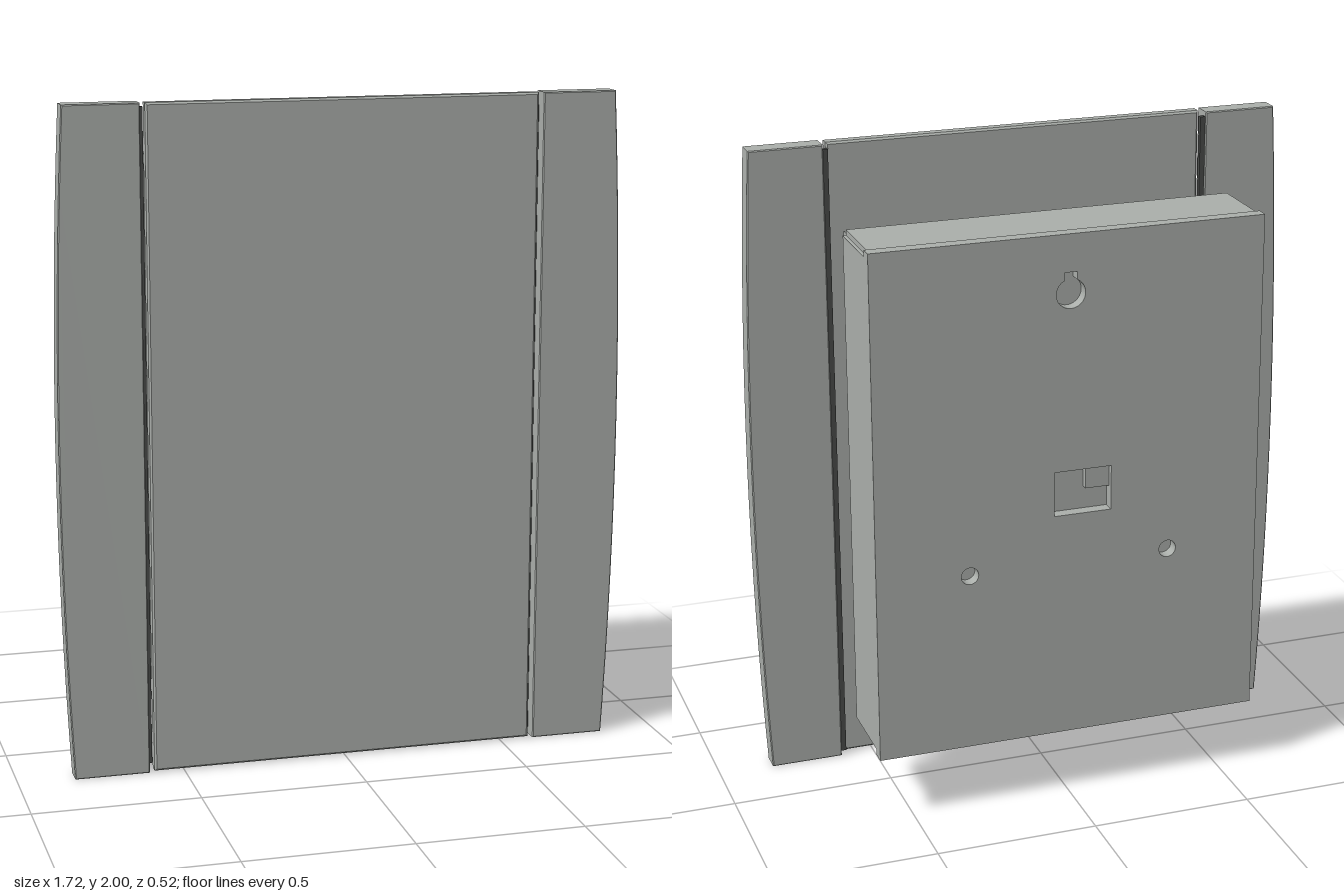
import * as THREE from 'three';

const grey = new THREE.MeshStandardMaterial({ color: 0xabafab });
grey.name = 'grey plastic';
const dark = new THREE.MeshStandardMaterial({ color: 0x4a4c4a });
dark.name = 'dark gasket';

export function createModel() {
  const model = new THREE.Group();
  model.name = 'wallUnit';

  const add = (parent, name, geometry, material = grey) => {
    const mesh = new THREE.Mesh(geometry, material);
    mesh.name = name;
    parent.add(mesh);
    return mesh;
  };
  // Box given by its lower and upper limits on each axis
  const box = (parent, name, [x0, x1], [y0, y1], [z0, z1], material) => {
    const mesh = add(parent, name, new THREE.BoxGeometry(x1 - x0, y1 - y0, z1 - z0), material);
    mesh.position.set((x0 + x1) / 2, (y0 + y1) / 2, (z0 + z1) / 2);
    return mesh;
  };
  // Flat outline extruded from z0 to z1 with small chamfered edges
  const slab = (parent, name, shape, z0, z1, bevel) => {
    const geometry = new THREE.ExtrudeGeometry(shape, {
      depth: z1 - z0 - 2 * bevel, bevelEnabled: bevel > 0, bevelThickness: bevel,
      bevelSize: bevel, bevelOffset: -bevel, bevelSegments: 1, curveSegments: 20,
    });
    geometry.translate(0, 0, z0 + bevel);
    return add(parent, name, geometry);
  };
  const rect = (x0, x1, y0, y1, Type = THREE.Shape) => new Type([
    new THREE.Vector2(x0, y0), new THREE.Vector2(x1, y0),
    new THREE.Vector2(x1, y1), new THREE.Vector2(x0, y1),
  ]);

  // Front cover: centre panel, bowed side wings and the gaskets between
  const cover = new THREE.Group();
  cover.name = 'frontCover';
  model.add(cover);
  slab(cover, 'centrePanel', rect(-0.59, 0.59, 0.004, 2), 0.22, 0.26, 0.006);
  for (const side of [-1, 1]) {
    const points = [];
    for (let i = 0; i <= 16; i++) {
      const t = i / 8 - 1;
      points.push(new THREE.Vector2(side * (0.83 + 0.028 * (1 - t * t)), 1 + t));
    }
    points.push(new THREE.Vector2(side * 0.605, 2), new THREE.Vector2(side * 0.605, 0));
    slab(cover, side > 0 ? 'leftWing' : 'rightWing', new THREE.Shape(points), 0.195, 0.26, 0.003);
    const strip = box(cover, 'gasket', [-0.009, 0.009], [0.015, 1.985], [0.2, 0.215], dark);
    strip.position.x = side * 0.598;
  }

  // Housing: core, side plates, top and bottom walls
  const housing = new THREE.Group();
  housing.name = 'housing';
  model.add(housing);
  box(housing, 'core', [-0.595, 0.595], [0.225, 1.785], [-0.225, 0]);
  for (const side of [-1, 1]) {
    const plate = box(housing, 'sidePlate', [-0.005, 0.005], [0.23, 1.78], [-0.248, 0]);
    plate.position.x = side * 0.6;
  }
  box(housing, 'topWall', [-0.595, 0.595], [1.784, 1.797], [-0.25, 0]);
  box(housing, 'bottomWall', [-0.595, 0.595], [0.212, 0.226], [-0.25, 0]);

  // Back plate with keyhole, cable window and two screw holes
  const back = rect(-0.605, 0.605, 0.21, 1.8);
  const keyhole = new THREE.Path();
  keyhole.absarc(0, 1.62, 0.045, Math.PI * 0.64, Math.PI * 2.36, false);
  keyhole.lineTo(0.019, 1.685);
  keyhole.lineTo(-0.019, 1.685);
  keyhole.closePath();
  back.holes.push(keyhole, rect(-0.13, 0.05, 0.93, 1.07, THREE.Path));
  for (const x of [-0.315, 0.315]) {
    const hole = new THREE.Path();
    hole.absarc(x, 0.775, 0.027, 0, Math.PI * 2, false);
    back.holes.push(hole);
  }
  slab(housing, 'backPlate', back, -0.263, -0.222, 0);
  box(housing, 'windowInsert', [-0.13, -0.055], [1.0, 1.07], [-0.245, -0.224]);

  // Inner parts between housing and cover
  const inner = new THREE.Group();
  inner.name = 'innerParts';
  model.add(inner);
  box(inner, 'upperBlock', [-0.6, -0.14], [1.24, 1.78], [0, 0.045]);
  box(inner, 'upperBlock', [0.13, 0.59], [1.24, 1.78], [0, 0.045]);
  box(inner, 'upperBridge', [-0.13, 0.13], [1.24, 1.77], [0, 0.05]);
  box(inner, 'upperPlate', [-0.57, 0.57], [1.24, 1.7], [0.045, 0.053]);
  box(inner, 'middleRail', [-0.58, 0.58], [1.17, 1.24], [0, 0.052]);
  box(inner, 'middlePlate', [-0.58, 0.58], [0.9, 1.17], [0.022, 0.056]);
  box(inner, 'middleSpacer', [-0.57, 0.57], [0.905, 1.165], [0, 0.022], dark);
  box(inner, 'lowerPlate', [-0.58, 0.58], [0.23, 0.82], [0.045, 0.068]);

  // Hinge clips at the right edge
  for (const y of [0.36, 1.595]) {
    box(inner, 'hingeArm', [-0.7, -0.57], [y - 0.042, y + 0.042], [0.015, 0.06]);
    const pin = add(inner, 'hingePin', new THREE.CylinderGeometry(0.014, 0.014, 0.09, 16));
    pin.position.set(-0.688, y, 0.072);
  }
  return model;
}
